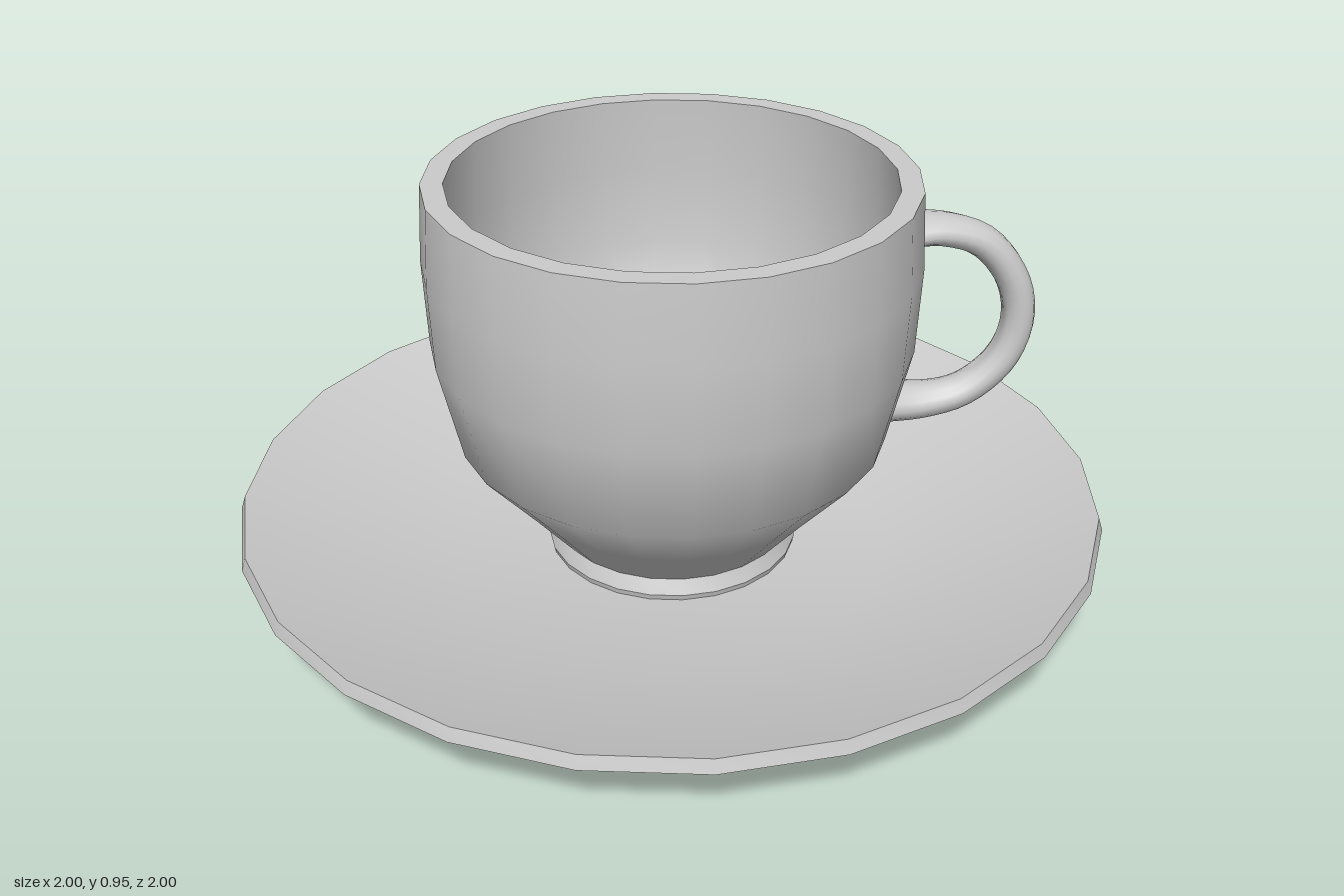
import * as THREE from 'three';
import { toCreasedNormals } from 'three/addons/utils/BufferGeometryUtils.js';

const SIDES = 24;
const TWIST = THREE.MathUtils.degToRad(-1.8);
const material = new THREE.MeshStandardMaterial({ color: 0xcccccc });

function part(name, geometry) {
  const mesh = new THREE.Mesh(geometry, material);
  mesh.name = name;
  return mesh;
}

// Closed turned shape from [radius, height] pairs, sharp only at strong edges
function turned(name, profile) {
  const points = profile.map(([r, y]) => new THREE.Vector2(r, y));
  const lathe = new THREE.LatheGeometry(points, SIDES, TWIST);
  return part(name, toCreasedNormals(lathe, 0.6));
}

// Tube in the XY plane whose ends widen sideways where they meet the cup
function handleGeometry() {
  const path = new THREE.CatmullRomCurve3([
    [0.52, 0.81], [0.6, 0.81], [0.7, 0.775], [0.775, 0.68], [0.795, 0.58],
    [0.765, 0.48], [0.68, 0.4], [0.58, 0.375], [0.475, 0.38],
  ].map(([x, y]) => new THREE.Vector3(x, y, 0)));
  const steps = 32, around = 14;
  const geometry = new THREE.TubeGeometry(path, steps, 1, around);
  const pos = geometry.attributes.position;
  const v = new THREE.Vector3();
  for (let i = 0; i <= steps; i++) {
    const t = i / steps;
    const centre = path.getPointAt(t);
    const flare = Math.abs(2 * t - 1) ** 4;
    const inPlane = 0.038 + flare * (t < 0.5 ? -0.006 : 0.012);
    const sideways = 0.044 + flare * 0.036;
    for (let j = 0; j <= around; j++) {
      const k = i * (around + 1) + j;
      v.fromBufferAttribute(pos, k).sub(centre);
      v.set(v.x * inPlane, v.y * inPlane, v.z * sideways).add(centre);
      pos.setXYZ(k, v.x, v.y, v.z);
    }
  }
  geometry.computeVertexNormals();
  return toCreasedNormals(geometry, 0.9);
}

export function createModel() {
  const model = new THREE.Group();
  model.name = 'cupAndSaucer';

  // Saucer: foot, sloping underside, thin rim, dished top with flat well
  model.add(turned('saucer', [
    [0, 0], [0.525, 0], [0.56, 0.025], [1, 0.17], [0.99, 0.2], [0.51, 0.036], [0, 0.036],
  ]));

  // Cup sits slightly off the saucer's centre
  const cup = new THREE.Group();
  cup.name = 'cup';
  cup.position.set(-0.02, 0, -0.02);
  cup.add(turned('bowl', [
    [0, 0.03], [0.29, 0.03], [0.295, 0.05], [0.28, 0.085], [0.375, 0.2], [0.495, 0.34],
    [0.547, 0.57], [0.555, 0.77], [0.545, 0.95],
    [0.495, 0.95], [0.503, 0.77], [0.495, 0.58], [0.45, 0.37], [0.275, 0.15], [0, 0.15],
  ]));

  // Handle points to the back left
  const handle = part('handle', handleGeometry());
  handle.rotation.y = 1.0;
  cup.add(handle);

  model.add(cup);
  return model;
}
